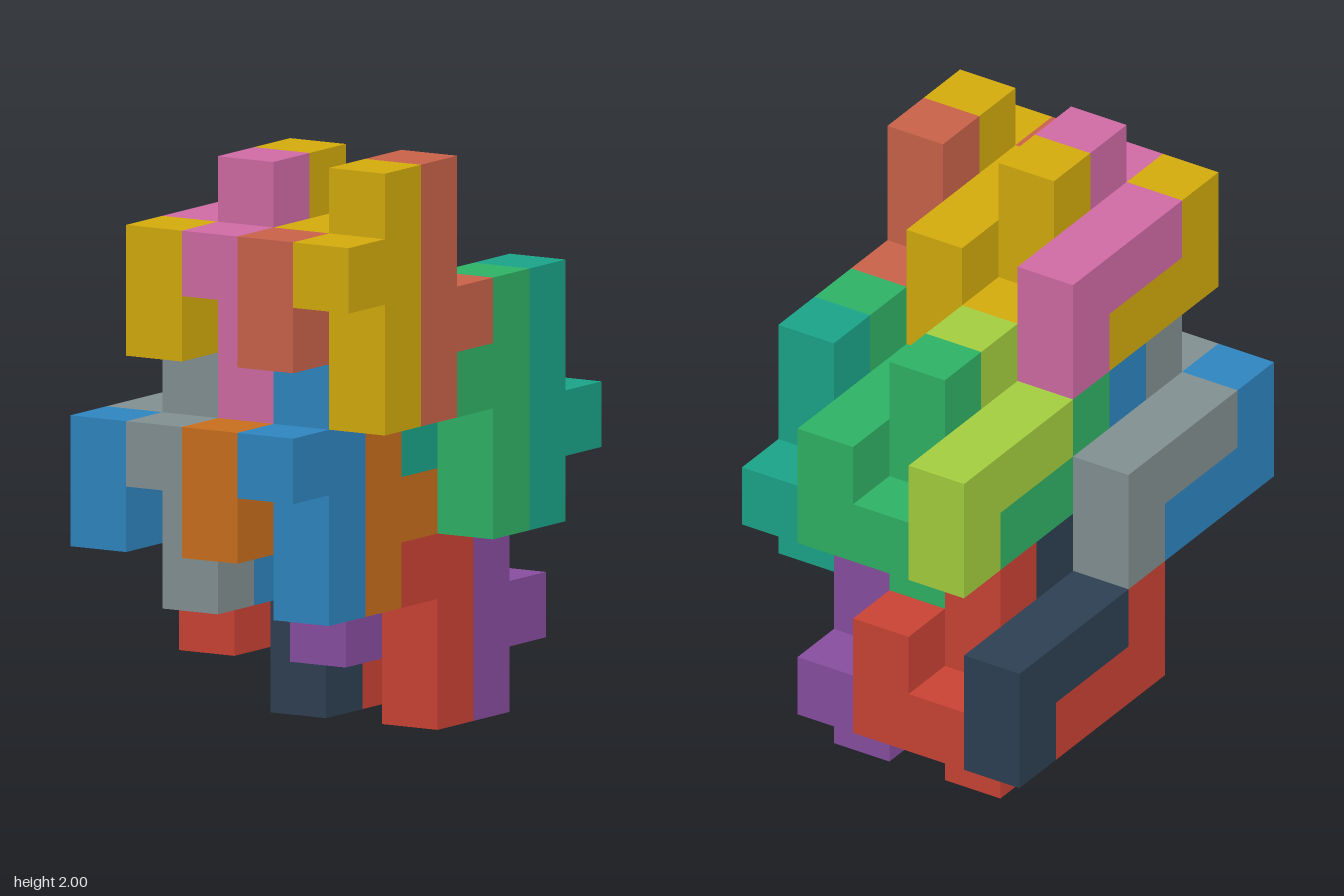
import * as THREE from 'three';

const U = 2 / 9; // edge of one cube cell

// Outlines of the four cell shapes, as (z, y) corners in cells
const OUTLINES = {
  rearHook: [[0, 1], [1, 1], [1, 2], [3, 2], [3, 3], [0, 3]],
  frontHook: [[1, 1], [4, 1], [4, 3], [3, 3], [3, 2], [1, 2]],
  frontPost: [[2, 0], [3, 0], [3, 2], [4, 2], [4, 3], [3, 3], [3, 4], [2, 4]],
  rearPost: [[1, 0], [2, 0], [2, 4], [1, 4], [1, 2], [0, 2], [0, 1], [1, 1]],
};

// Each piece is a chain of one-cell-thick slices: [outline, x cell]
const PIECES = {
  rightPiece: [['rearHook', 0], ['frontPost', 1]],
  middlePiece: [['frontHook', 0], ['rearPost', 1], ['rearHook', 2], ['frontPost', 3]],
  leftPiece: [['frontHook', 2], ['rearPost', 3]],
};

// The same block is stacked four times, each with its own three colours
const BLOCKS = [
  { name: 'upperFrontBlock', at: [1, 5, 3], colors: [0xd16ba5, 0xd4ac0d, 0xc9634a] },
  { name: 'upperRearBlock', at: [1, 3, 0], colors: [0xa5cf3f, 0x2fb366, 0x1ba589] },
  { name: 'lowerFrontBlock', at: [0, 2, 3], colors: [0x839192, 0x2e86c1, 0xca6f1e] },
  { name: 'lowerRearBlock', at: [0, 0, 0], colors: [0x2e4053, 0xcb4335, 0x884ea0] },
];

// Extrude an outline one cell along x
function slice(outline) {
  const shape = new THREE.Shape(outline.map(([z, y]) => new THREE.Vector2(z * U, y * U)));
  const geometry = new THREE.ExtrudeGeometry(shape, { depth: U, bevelEnabled: false });
  return geometry.rotateY(-Math.PI / 2).translate(U, 0, 0);
}

export function createModel() {
  const model = new THREE.Group();
  model.name = 'interlockingCubePuzzle';

  const slices = {};
  for (const key in OUTLINES) slices[key] = slice(OUTLINES[key]);

  for (const { name, at, colors } of BLOCKS) {
    const block = new THREE.Group();
    block.name = name;
    block.position.set((at[0] - 2.5) * U, at[1] * U, (at[2] - 3.5) * U);
    Object.entries(PIECES).forEach(([pieceName, parts], i) => {
      const piece = new THREE.Group();
      piece.name = pieceName;
      const material = new THREE.MeshStandardMaterial({ color: colors[i] });
      for (const [key, x] of parts) {
        const mesh = new THREE.Mesh(slices[key], material);
        mesh.name = key;
        mesh.position.x = x * U;
        piece.add(mesh);
      }
      block.add(piece);
    });
    model.add(block);
  }
  return model;
}
